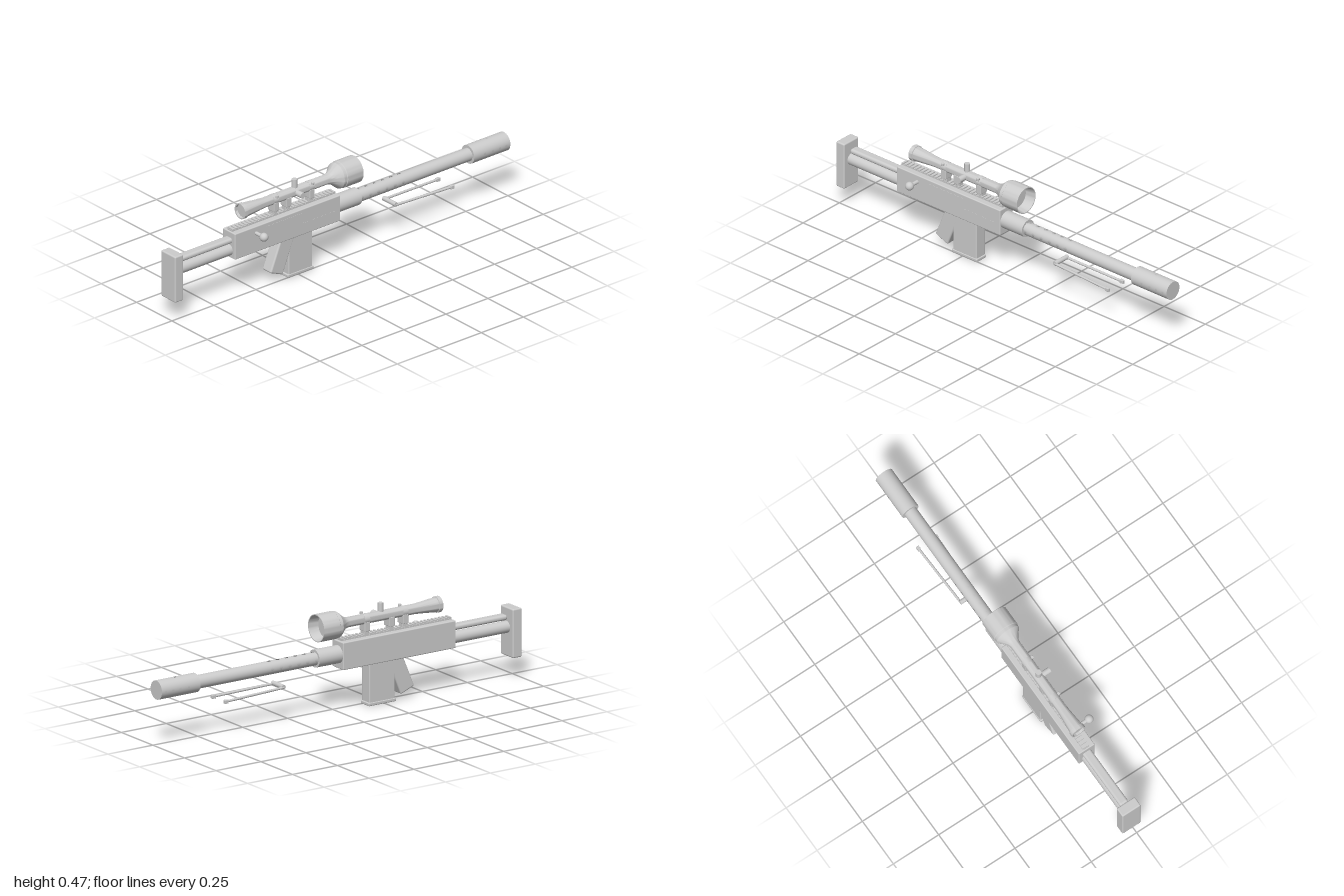
import * as THREE from 'three';
import { mergeGeometries, toCreasedNormals } from 'three/addons/utils/BufferGeometryUtils.js';
import { RoundedBoxGeometry } from 'three/addons/geometries/RoundedBoxGeometry.js';

const CX = -0.027;      // centre plane of the rifle
const BORE = 0.268;     // height of the barrel axis
const SCOPE = 0.41;     // height of the scope axis

const steel = new THREE.MeshStandardMaterial({ color: 0xcccccc, side: THREE.DoubleSide });
steel.name = 'light grey';

export function createModel() {
  const root = new THREE.Group();
  root.name = 'rifle';

  const add = (name, geo, x = CX, y = 0, z = 0) => {
    const m = new THREE.Mesh(geo, steel);
    m.name = name;
    m.position.set(x, y, z);
    root.add(m);
    return m;
  };
  // box given by its extents in y and z, centred on x
  const block = (name, w, y0, y1, z0, z1, r = 0, x = CX) => add(name,
    r ? new RoundedBoxGeometry(w, y1 - y0, z1 - z0, 3, r) : new THREE.BoxGeometry(w, y1 - y0, z1 - z0),
    x, (y0 + y1) / 2, (z0 + z1) / 2);
  // cylinder along z
  const rod = (name, r, y, z0, z1) => add(name,
    new THREE.CylinderGeometry(r, r, z1 - z0, 40).rotateX(Math.PI / 2), CX, y, (z0 + z1) / 2);
  // surface of revolution about z from [radius, z] pairs
  const turned = (name, y, pts) => add(name, toCreasedNormals(
    new THREE.LatheGeometry(pts.map(p => new THREE.Vector2(...p)), 48).rotateX(Math.PI / 2), 0.6), CX, y, 0);

  // Tube along z, with oval holes { a: angle, z, ra, rz } left out of the wall
  // and a core just below the surface that closes them
  const pierced = (name, r, y, z0, z1, holes) => {
    const N = 64, cuts = new Set([z0, z1]);
    for (const h of holes) for (let k = -3; k <= 3; k++) cuts.add(h.z + h.rz * k / 3);
    const zs = [...cuts].sort((a, b) => a - b);
    const pos = [], nor = [], idx = [];
    for (const z of zs) for (let i = 0; i <= N; i++) {
      const a = i / N * Math.PI * 2;
      pos.push(r * Math.cos(a), r * Math.sin(a), z);
      nor.push(Math.cos(a), Math.sin(a), 0);
    }
    for (let j = 0; j < zs.length - 1; j++) for (let i = 0; i < N; i++) {
      const a = (i + 0.5) / N * Math.PI * 2, z = (zs[j] + zs[j + 1]) / 2;
      const open = holes.some(h => {
        const d = Math.atan2(Math.sin(a - h.a), Math.cos(a - h.a)) * r;
        return (d / h.ra) ** 2 + ((z - h.z) / h.rz) ** 2 < 1;
      });
      if (open) continue;
      const p = j * (N + 1) + i, q = p + N + 1;
      idx.push(p, p + 1, q + 1, p, q + 1, q);
    }
    const g = new THREE.BufferGeometry();
    g.setAttribute('position', new THREE.Float32BufferAttribute(pos, 3));
    g.setAttribute('normal', new THREE.Float32BufferAttribute(nor, 3));
    g.setIndex(idx);
    add(name, g, CX, y, 0);
    rod(name + 'Core', r - 0.005, y, z0 + 0.002, z1 - 0.002);
  };

  // Stock: butt pad, main tube and the flattened rod above it
  block('buttPad', 0.101, 0.098, 0.331, 0.95, 1.0, 0.007);
  rod('stockTube', 0.028, 0.238, 0.62, 0.96);
  block('stockRod', 0.046, 0.275, 0.301, 0.62, 0.942, 0.012);

  // Receiver with slots along its bolt side
  block('receiver', 0.088, 0.2, 0.331, 0.01, 0.638, 0.005);
  const side = CX + 0.044;
  block('boltSlot', 0.002, 0.309, 0.312, 0.24, 0.45, 0, side);
  block('boltSlotEnd', 0.002, 0.275, 0.312, 0.237, 0.24, 0, side);
  for (let i = 0; i < 4; i++) {
    const z = 0.06 + i * 0.052;
    block('vent', 0.002, 0.257, 0.26, z - 0.015, z + 0.015, 0, side);
    block('ventEnd', 0.002, 0.25, 0.26, z - 0.017, z - 0.014, 0, side);
  }

  // Toothed rail
  block('rail', 0.032, 0.328, 0.337, 0.02, 0.632);
  const teeth = [];
  for (let z = 0.025; z < 0.63; z += 0.02)
    teeth.push(new THREE.BoxGeometry(0.036, 0.008, 0.01).translate(0, 0, z));
  add('railTeeth', mergeGeometries(teeth), CX, 0.339, 0);

  // Bolt handle
  add('boltShaft', new THREE.CylinderGeometry(0.009, 0.009, 0.06, 24).rotateZ(Math.PI / 2), 0.03, 0.297, 0.512);
  add('boltKnob', new THREE.SphereGeometry(0.0205, 32, 20), 0.071, 0.297, 0.512);

  // Magazine and its floor plate
  block('magazine', 0.061, 0.005, 0.21, 0.165, 0.307, 0.005);
  block('magazineBase', 0.066, 0.0, 0.017, 0.16, 0.314, 0.005);

  // Raked pistol grip
  const grip = add('grip', new RoundedBoxGeometry(0.062, 0.19, 0.08, 4, 0.008), CX, 0.129, 0.343);
  grip.rotation.x = -0.39;

  // Barrel: sleeve, pierced tube and muzzle brake
  rod('barrelSleeve', 0.042, BORE, -0.12, 0.02);
  const vents = [], ports = [];
  for (const a of [0, Math.PI / 2, Math.PI]) {
    for (let i = 0; i < 6; i++) vents.push({ a, z: -0.13 - i * 0.049, ra: 0.008, rz: 0.01 });
    if (a !== Math.PI / 2)
      for (const z of [-0.85, -0.897, -0.937, -0.977]) ports.push({ a, z, ra: 0.006, rz: 0.006 });
  }
  ports.push({ a: Math.PI / 2, z: -0.897, ra: 0.006, rz: 0.006 });
  pierced('barrel', 0.0315, BORE, -0.8, -0.1, vents);
  pierced('muzzleBrake', 0.045, BORE, -1, -0.785, ports);
  rod('muzzleFace', 0.045, BORE, -1, -0.994);
  rod('muzzleCollar', 0.045, BORE, -0.791, -0.785);

  // Folded bipod: crossbar, two splayed legs and feet
  add('bipodCrossbar', new THREE.CylinderGeometry(0.011, 0.011, 0.088, 20).rotateZ(Math.PI / 2), CX, 0.177, -0.321);
  for (const s of [-1, 1]) {
    const path = new THREE.LineCurve3(
      new THREE.Vector3(s * 0.04, 0.174, -0.32), new THREE.Vector3(s * 0.05, 0.166, -0.645));
    add('bipodLeg', new THREE.TubeGeometry(path, 1, 0.006, 12));
    block('bipodFoot', 0.015, 0.157, 0.174, -0.658, -0.637, 0.002, CX + s * 0.05);
  }

  // Scope body, with hollow ends closed by recessed lenses
  turned('scopeBody', SCOPE, [
    [0, -0.06], [0.054, -0.06], [0.061, -0.11], [0.065, -0.11], [0.065, -0.018], [0.062, -0.015],
    [0.062, 0.0], [0.056, 0.008], [0.04, 0.026], [0.029, 0.042], [0.024, 0.06],
    [0.024, 0.43], [0.026, 0.46], [0.033, 0.535], [0.034, 0.552], [0.038, 0.553], [0.038, 0.572],
    [0.032, 0.572], [0.031, 0.56], [0, 0.56],
  ]);

  // Adjustment turrets on top and on the bolt side
  add('topTurret', new THREE.CylinderGeometry(0.0135, 0.0135, 0.05, 28), CX, 0.447, 0.248);
  add('sideTurret', new THREE.CylinderGeometry(0.0145, 0.0145, 0.05, 28).rotateZ(Math.PI / 2), 0.009, 0.409, 0.248);

  // Scope mounts, clamp rings and ring screws
  for (const z of [0.16, 0.298, 0.373]) {
    block('mountFoot', 0.03, 0.33, 0.362, z - 0.014, z + 0.014, 0.003);
    block('mountBlock', 0.046, 0.355, 0.4, z - 0.015, z + 0.015, 0.003);
  }
  for (const z of [0.16, 0.373]) {
    rod('clampRing', 0.0248, SCOPE, z - 0.014, z + 0.014);
    block('ringScrew', 0.013, 0.425, 0.439, z - 0.007, z + 0.007, 0.003, CX + 0.026);
  }

  return root;
}
